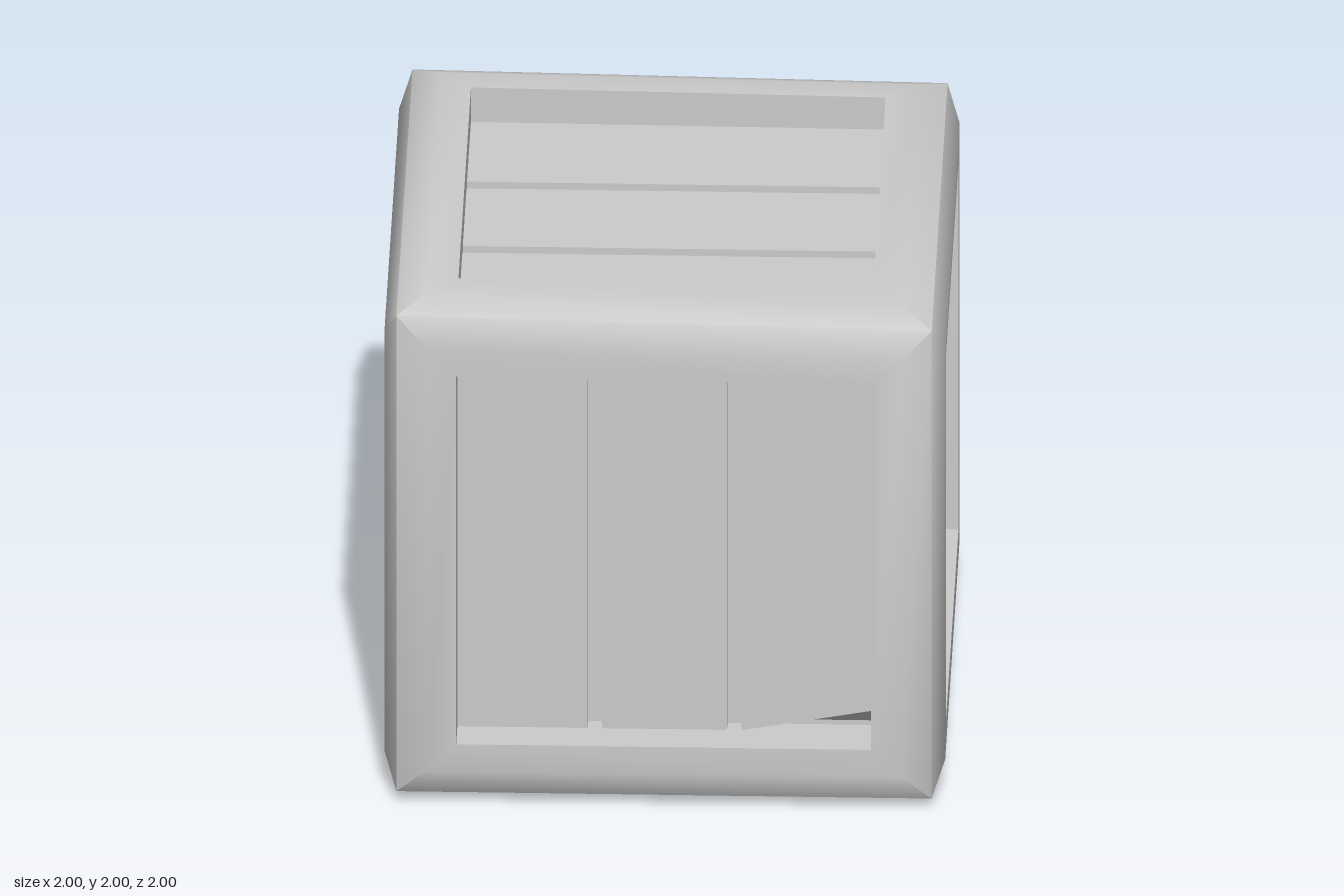
import * as THREE from 'three';
import { mergeGeometries, toCreasedNormals } from 'three/addons/utils/BufferGeometryUtils.js';

const material = new THREE.MeshStandardMaterial({ color: 0xcccccc });
const OPEN = 0.74;   // half width of each opening
const BACK = 0.805;  // half size of the inner box
const PLANK = 0.86;  // distance of plank fronts from the centre

// Rotations that carry a side facing +z to each side of the cube
const turn = (x, y, z = 0) => new THREE.Matrix4().makeRotationFromEuler(new THREE.Euler(x, y, z));
const SIDES = {
  front: turn(0, 0),
  right: turn(0, Math.PI / 2),
  back: turn(0, Math.PI),
  left: turn(0, -Math.PI / 2),
  top: turn(-Math.PI / 2, 0, Math.PI / 2),
  bottom: turn(Math.PI / 2, 0),
};

// Plank end cuts per side: [top left, top right, bottom left, bottom right]
const CUTS = {
  front: [[0, 0.07, 0, 0], [0, 0, 0, 0], [0, 0, 0, 0.085]],
  right: [[0.015, 0.07, 0, 0], [0, 0, 0.03, 0.03], [0, 0, 0.03, 0]],
};

// One side of the frame: square rings from the recess wall out to the cube edge
function frameSide() {
  const rings = [[OPEN, 0.8], [OPEN, 1], [0.85, 1], [0.955, 0.955]];
  const signs = [[-1, -1], [1, -1], [1, 1], [-1, 1]];
  const pos = [];
  for (let r = 0; r < rings.length - 1; r++) {
    for (let i = 0; i < 4; i++) {
      const point = (ring, k) => [signs[k % 4][0] * ring[0], signs[k % 4][1] * ring[0], ring[1]];
      const a = point(rings[r], i), b = point(rings[r], i + 1);
      const c = point(rings[r + 1], i), d = point(rings[r + 1], i + 1);
      pos.push(...a, ...c, ...d, ...a, ...d, ...b);
    }
  }
  const geo = new THREE.BufferGeometry();
  geo.setAttribute('position', new THREE.Float32BufferAttribute(pos, 3));
  return geo;
}

// Slight hand-made sag of the top right and back right edges
function warp(geo) {
  const p = geo.attributes.position;
  for (let i = 0; i < p.count; i++) {
    const x = p.getX(i), y = p.getY(i), z = p.getZ(i);
    const right = (x + 1) / 2;
    if (y > 0) p.setY(i, y - 0.037 * y * y * right * (0.25 + 0.75 * (z + 1) / 2));
    if (z < 0) p.setZ(i, z + 0.037 * z * z * right);
  }
  return geo;
}

// Plank whose front corners are pulled in, leaving sloped ends
function plankGeometry(x0, x1, cuts) {
  const geo = new THREE.BoxGeometry(x1 - x0, 2 * OPEN, PLANK - 0.79).toNonIndexed();
  const p = geo.attributes.position;
  for (let i = 0; i < p.count; i++) {
    if (p.getZ(i) < 0) continue;
    const up = p.getY(i) > 0;
    const cut = cuts[(up ? 0 : 2) + (p.getX(i) > 0 ? 1 : 0)];
    p.setY(i, p.getY(i) + (up ? -cut : cut));
  }
  geo.translate((x0 + x1) / 2, 0, (PLANK + 0.79) / 2);
  return geo;
}

export function createModel() {
  const model = new THREE.Group();
  model.name = 'crate';
  const add = (name, geo, parent = model) => {
    const mesh = new THREE.Mesh(geo, material);
    mesh.name = name;
    parent.add(mesh);
  };

  // Rounded outer frame
  const sides = Object.values(SIDES).map((m) => frameSide().applyMatrix4(m));
  const frame = toCreasedNormals(warp(mergeGeometries(sides)), Math.PI / 3);
  add('frame', frame.translate(0, 1, 0));

  // Inner box seen between the planks and underneath
  add('innerBox', new THREE.BoxGeometry(2 * BACK, 2 * BACK, 2 * BACK).translate(0, 1, 0));

  // Three planks on every side but the bottom
  const spans = [[-OPEN, -0.277], [-0.225, 0.222], [0.274, OPEN]];
  for (const [side, matrix] of Object.entries(SIDES)) {
    if (side === 'bottom') continue;
    const group = new THREE.Group();
    group.name = side + 'Planks';
    spans.forEach(([x0, x1], i) => {
      const cuts = CUTS[side] ? CUTS[side][i] : [0, 0, 0, 0];
      const geo = plankGeometry(x0, x1, cuts).applyMatrix4(matrix).translate(0, 1, 0);
      geo.computeVertexNormals();
      add('plank' + (i + 1), geo, group);
    });
    model.add(group);
  }
  return model;
}
